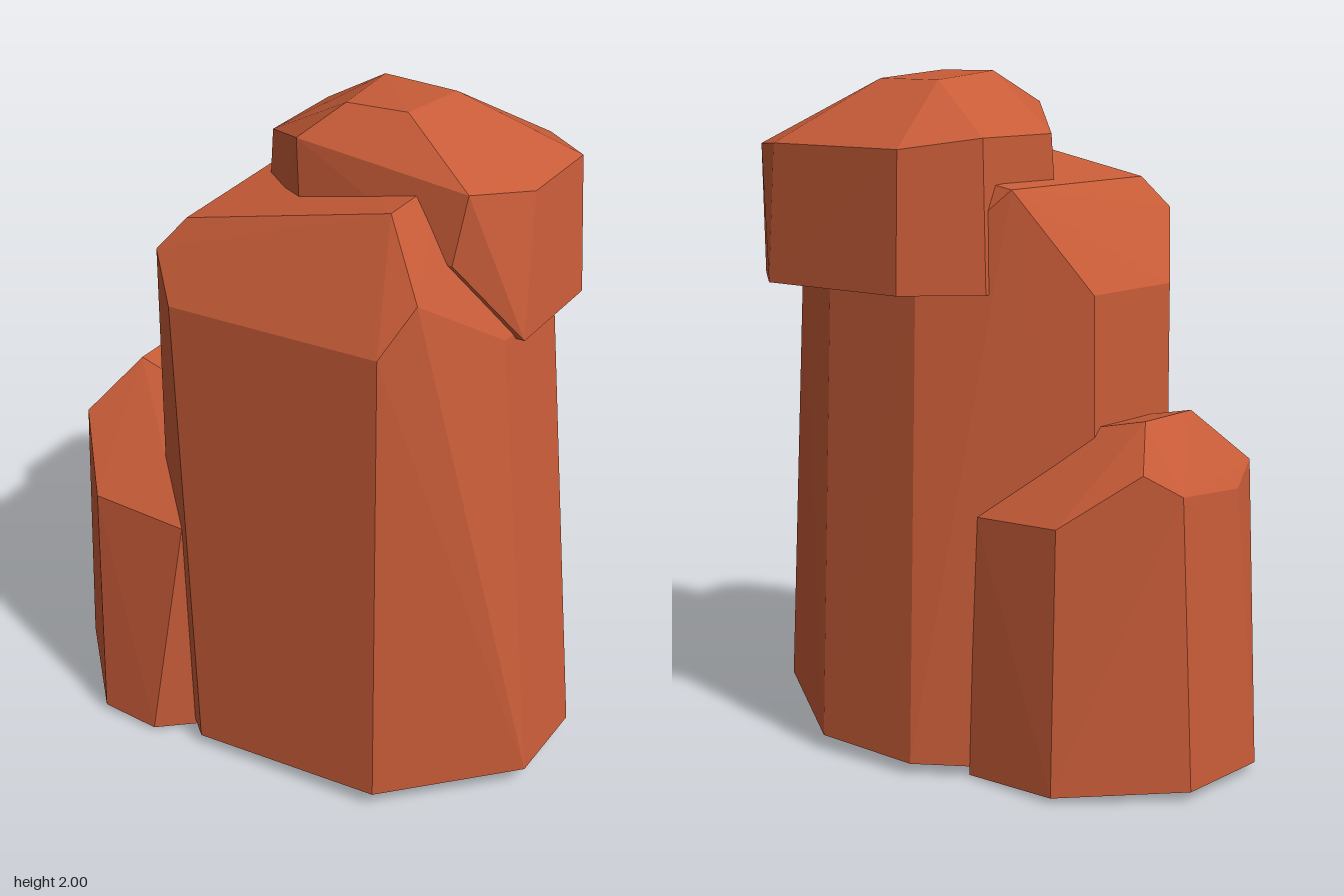
import * as THREE from 'three';
import { ConvexGeometry } from 'three/addons/geometries/ConvexGeometry.js';

const redRock = new THREE.MeshStandardMaterial({ color: 0xc85c38 });
redRock.name = 'redRock';

// A faceted boulder: the hull of several corner loops of [x, y, z]
function boulder(name, ...loops) {
  const corners = loops.flat().map(([x, y, z]) => new THREE.Vector3(x, y, z));
  const mesh = new THREE.Mesh(new ConvexGeometry(corners), redRock);
  mesh.name = name;
  return mesh;
}

// Turns a footprint of [x, z] into a loop on a gently sloping base
const base = (y, slope, footprint) => footprint.map(([x, z]) => [x, y + slope * x, z]);

export function createModel() {
  const group = new THREE.Group();
  group.name = 'rockFormation';

  // Tall central pillar
  group.add(boulder('mainPillar',
    base(0.036, 0.032, [[-0.16, 0.485], [0.44, 0.475], [0.775, 0.15], [0.775, -0.14],
      [0.31, -0.47], [-0.03, -0.46], [-0.46, -0.14], [-0.46, 0.2]]),
    // shoulders
    [[-0.23, 1.47, 0.465], [0.43, 1.48, 0.465], [0.5, 1.62, 0.38], [0.61, 1.42, 0.08],
      [0.615, 1.4, -0.22], [0.3, 1.45, -0.42], [-0.03, 1.45, -0.42], [-0.44, 1.4, -0.14],
      [-0.44, 1.4, 0.22], [-0.31, 1.6, 0.4]],
    // sloping top
    [[-0.24, 1.69, 0.35], [0.37, 1.82, 0.295], [0.37, 1.82, 0.05], [0.1, 1.75, -0.28],
      [-0.26, 1.69, -0.28]],
  ));

  // Cap stone overhanging the back
  group.add(boulder('capStone',
    [[0.64, 1.4, -0.35], [0.64, 1.4, 0.02], [0.46, 1.4, -0.51], [-0.03, 1.4, -0.5],
      [-0.21, 1.4, -0.33], [-0.21, 1.4, 0.0], [0.02, 1.65, 0.18], [0.49, 1.65, 0.175]],
    [[0, 1.91, 0.165], [0.52, 1.85, 0.15], [0.595, 1.79, -0.1], [0.595, 1.79, -0.4],
      [0.45, 1.8, -0.49], [-0.03, 1.8, -0.49], [-0.2, 1.83, -0.33], [-0.2, 1.83, -0.03]],
    [[0.1, 2, 0.07], [0.28, 2, 0.05], [0.29, 1.98, -0.21], [0.05, 1.98, -0.23]],
  ));

  // Low boulder leaning on the side of the pillar
  group.add(boulder('sideBoulder',
    base(0, -0.038, [[-0.78, 0.2], [-0.51, 0.5], [-0.32, 0.51], [-0.02, 0.24],
      [-0.02, -0.15], [-0.17, -0.36], [-0.48, -0.375], [-0.77, -0.11]]),
    [[-0.74, 0.85, 0.14], [-0.7, 0.91, 0.26], [-0.55, 0.74, 0.43], [-0.235, 0.73, 0.44],
      [-0.05, 0.75, 0.2], [-0.05, 0.75, -0.15], [-0.18, 0.77, -0.34], [-0.47, 0.78, -0.345],
      [-0.735, 0.87, -0.12], [-0.65, 0.93, -0.19]],
    [[-0.59, 1.06, 0.12], [-0.59, 1.06, -0.1], [-0.36, 1.01, 0.14], [-0.36, 1.01, -0.12]],
  ));

  return group;
}
